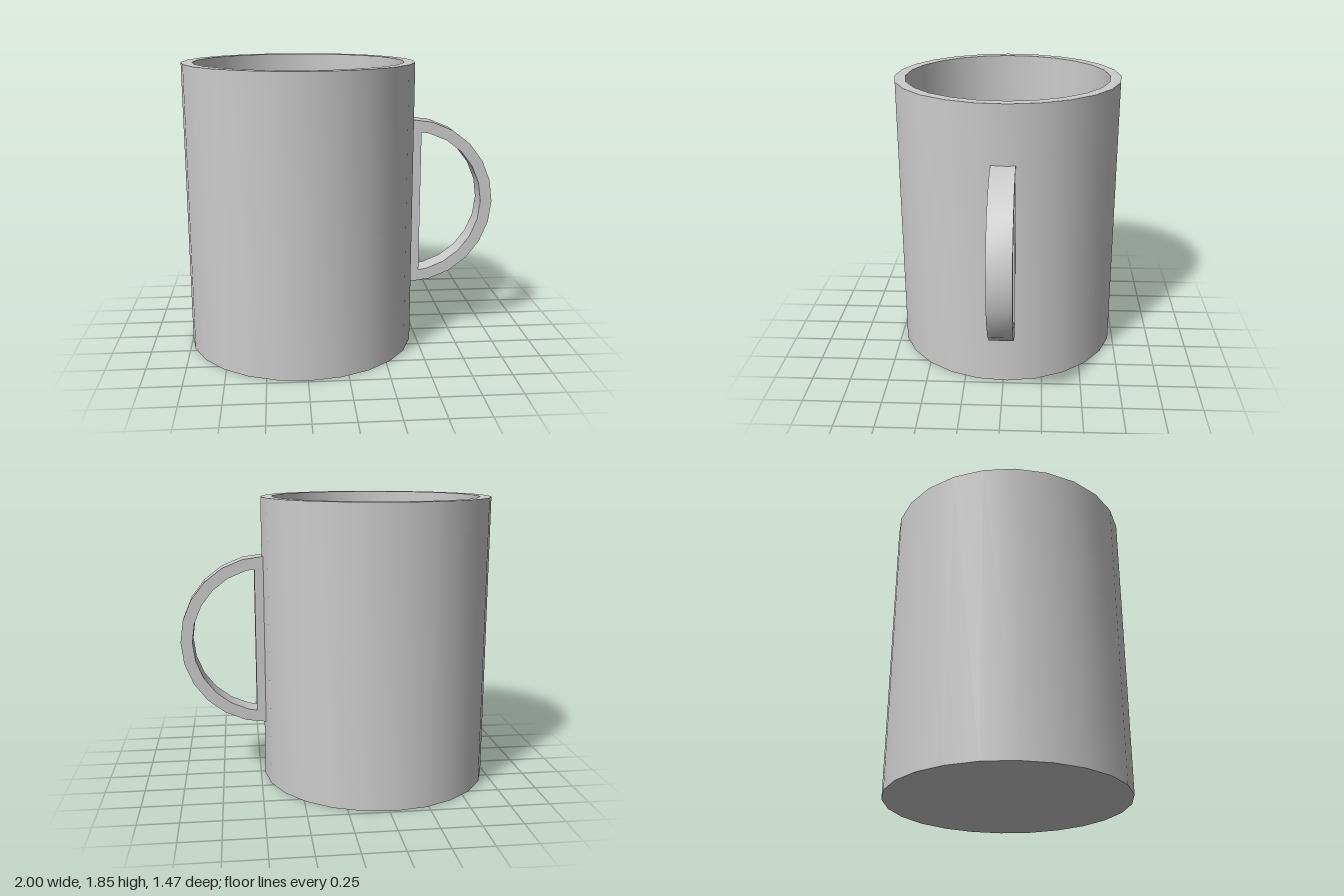
import * as THREE from 'three';
import { toCreasedNormals } from 'three/addons/utils/BufferGeometryUtils.js';

const CREASE = 0.6;

export function createModel() {
  const model = new THREE.Group();
  model.name = 'mug';
  const material = new THREE.MeshStandardMaterial({ color: 0xcccccc });

  const addPart = (name, geometry) => {
    const mesh = new THREE.Mesh(toCreasedNormals(geometry, CREASE), material);
    mesh.name = name;
    model.add(mesh);
    return mesh;
  };

  // Cup: outer wall, rim, inner wall and floor in one closed profile
  const outer = 0.737, inner = 0.667, height = 1.845, floor = 0.07;
  const profile = [
    [0, 0], [outer, 0], [outer, height], [inner, height], [inner, floor], [0, floor],
  ].map(([x, y]) => new THREE.Vector2(x, y));
  const turn = THREE.MathUtils.degToRad(2);
  addPart('cup', new THREE.LatheGeometry(profile, 24, turn)).position.x = -0.265;

  // Handle: half-ring closed by a straight bar that sinks into the cup wall
  const ringOuter = 0.55, ringInner = 0.475, barX = 0.07, depth = 0.15, steps = 12;
  const arc = (radius) => Array.from({ length: steps + 1 }, (_, i) => {
    const a = -Math.PI / 2 + (Math.PI * i) / steps;
    return new THREE.Vector2(radius * Math.cos(a), radius * Math.sin(a));
  });
  const shape = new THREE.Shape(arc(ringOuter));
  const opening = arc(ringInner);
  // Ends of the opening are cut off by the bar
  opening[0].set(barX, -0.467);
  opening[steps].set(barX, 0.467);
  shape.holes.push(new THREE.Path(opening));
  const handle = addPart('handle', new THREE.ExtrudeGeometry(shape, { depth, bevelEnabled: false }));
  handle.position.set(0.45, 0.925, -depth / 2);

  return model;
}
